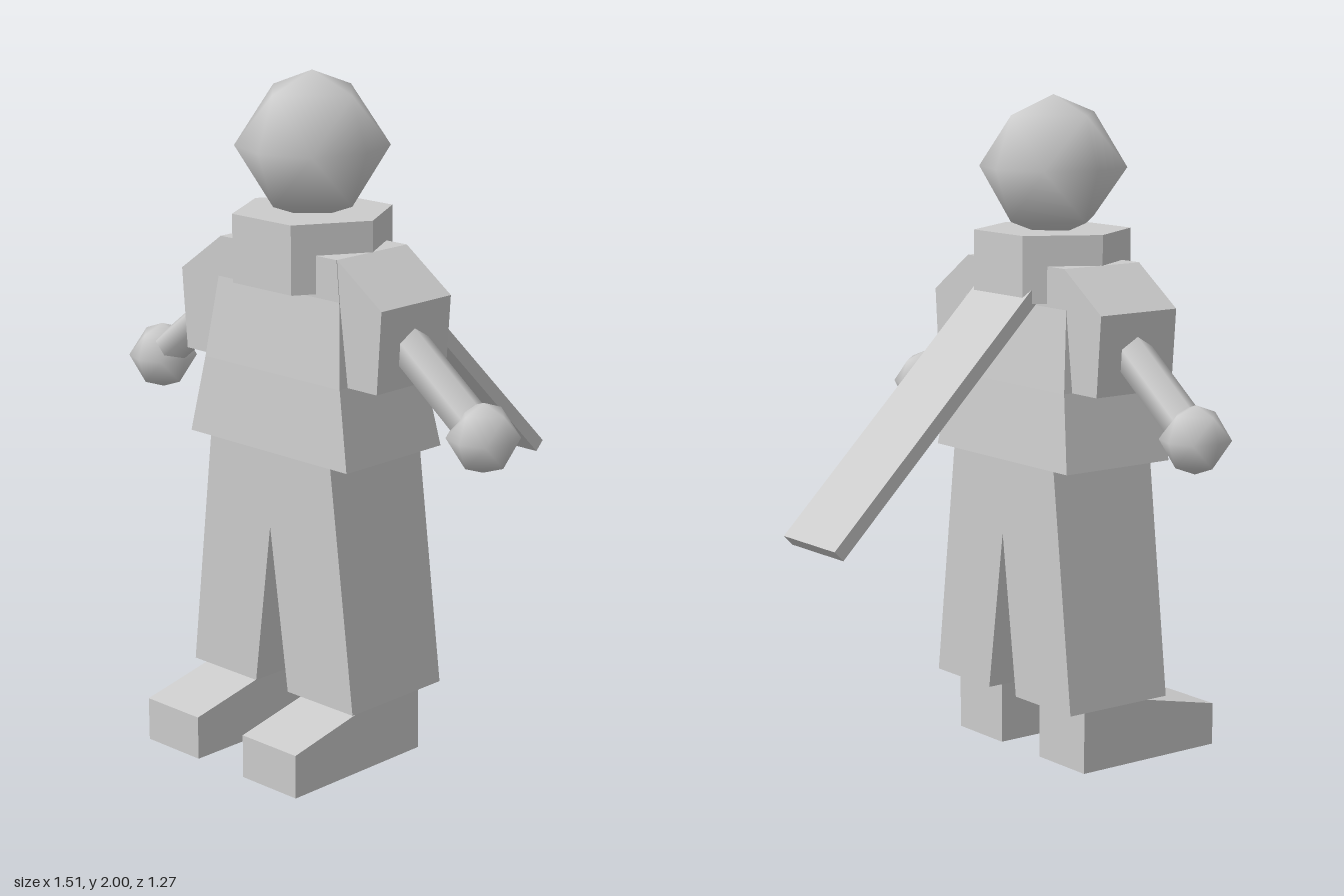
import * as THREE from 'three';

const smooth = new THREE.MeshStandardMaterial({ color: 0xcccccc });
const flat = new THREE.MeshStandardMaterial({ color: 0xcccccc, flatShading: true });
const MID_Z = 0.247;

function add(parent, name, geometry, material = flat) {
  const mesh = new THREE.Mesh(geometry, material);
  mesh.name = name;
  parent.add(mesh);
  return mesh;
}

// Prism: an x-y outline extruded from z0 to z1
function prism(points, z0, z1) {
  const shape = new THREE.Shape(points.map(([x, y]) => new THREE.Vector2(x, y)));
  return new THREE.ExtrudeGeometry(shape, { depth: z1 - z0, bevelEnabled: false }).translate(0, 0, z0);
}

// Low-poly ball: an octahedron divided once, slightly fuller between its axis points
function ball(radius) {
  const geometry = new THREE.OctahedronGeometry(radius, 1);
  const pos = geometry.attributes.position;
  const v = new THREE.Vector3();
  for (let i = 0; i < pos.count; i++) {
    v.fromBufferAttribute(pos, i);
    const largest = Math.max(Math.abs(v.x), Math.abs(v.y), Math.abs(v.z));
    if (largest < radius * 0.9) v.multiplyScalar(1.04);
    pos.setXYZ(i, v.x, v.y, v.z);
  }
  return geometry;
}

// Tunic body: a box whose levels are given as [y, half width, back z, front z]
function tunic() {
  const levels = [
    [0.92, 0.32, 0.05, 0.44],
    [1.15, 0.275, 0.075, 0.42],
    [1.39, 0.245, 0.105, 0.39],
    [1.51, 0.235, 0.105, 0.39],
  ];
  const geometry = new THREE.BoxGeometry(2, 3, 2, 1, 3, 1);
  const pos = geometry.attributes.position;
  for (let i = 0; i < pos.count; i++) {
    const [y, half, back, front] = levels[Math.round(pos.getY(i) + 1.5)];
    pos.setXYZ(i, pos.getX(i) * half, y, pos.getZ(i) > 0 ? front : back);
  }
  return geometry;
}

// Six-sided arm from sleeve to hand, with an edge along its top
function arm(side) {
  const from = new THREE.Vector3(side * 0.33, 1.302, MID_Z);
  const to = new THREE.Vector3(side * 0.65, 1.058, MID_Z);
  const geometry = new THREE.CylinderGeometry(0.055, 0.055, from.distanceTo(to), 6);
  geometry.rotateY(Math.PI / 6).scale(1, 1, 1.2);
  const tilt = Math.atan2(from.x - to.x, from.y - to.y);
  geometry.rotateZ(-tilt);
  const middle = from.add(to).multiplyScalar(0.5);
  return geometry.translate(middle.x, middle.y, middle.z);
}

export function createModel() {
  const model = new THREE.Group();
  model.name = 'figure';

  add(model, 'head', ball(0.214), smooth).position.set(0, 1.786, MID_Z);

  // Hexagonal collar with flat sides to front and back
  const collar = new THREE.CylinderGeometry(0.237, 0.237, 0.2, 6).rotateY(Math.PI / 6);
  add(model, 'collar', collar).position.set(0, 1.5, MID_Z);

  add(model, 'tunic', tunic());

  // Trousers: one outline with a notch between the legs
  add(model, 'trousers', prism([
    [-0.245, 0.925], [-0.332, 0.195], [-0.067, 0.195], [0, 0.69],
    [0.067, 0.195], [0.332, 0.195], [0.245, 0.925],
  ], 0.06, 0.43));

  // Cape: a thin slab sloping down behind the back
  const top = new THREE.Vector2(0.08, 1.427);
  const bottom = new THREE.Vector2(-0.62, 0.736);
  const cape = add(model, 'cape', new THREE.BoxGeometry(0.265, 0.042, top.distanceTo(bottom)));
  cape.position.set(0, (top.y + bottom.y) / 2, (top.x + bottom.x) / 2);
  cape.rotation.x = -Math.atan2(top.y - bottom.y, top.x - bottom.x);

  for (const [side, label] of [[1, 'left'], [-1, 'right']]) {
    // Sleeve with a sloping shoulder
    const sleeve = [[0.2, 1.51], [0.235, 1.51], [0.405, 1.39], [0.387, 1.15], [0.2, 1.15]];
    add(model, label + 'Sleeve', prism(sleeve.map(([x, y]) => [side * x, y]), 0.105, 0.388));

    add(model, label + 'Arm', arm(side), smooth);
    add(model, label + 'Hand', ball(0.1), smooth).position.set(side * 0.657, 1.053, MID_Z);

    // Shoe: side outline extruded across its width, then turned to face the front
    const shoe = prism([
      [-0.13, 0], [-0.13, 0.2], [-0.36, 0.19], [-0.64, 0.13], [-0.64, 0],
    ], -0.108, 0.108).rotateY(Math.PI / 2);
    add(model, label + 'Shoe', shoe).position.x = side * 0.203;
  }
  return model;
}
